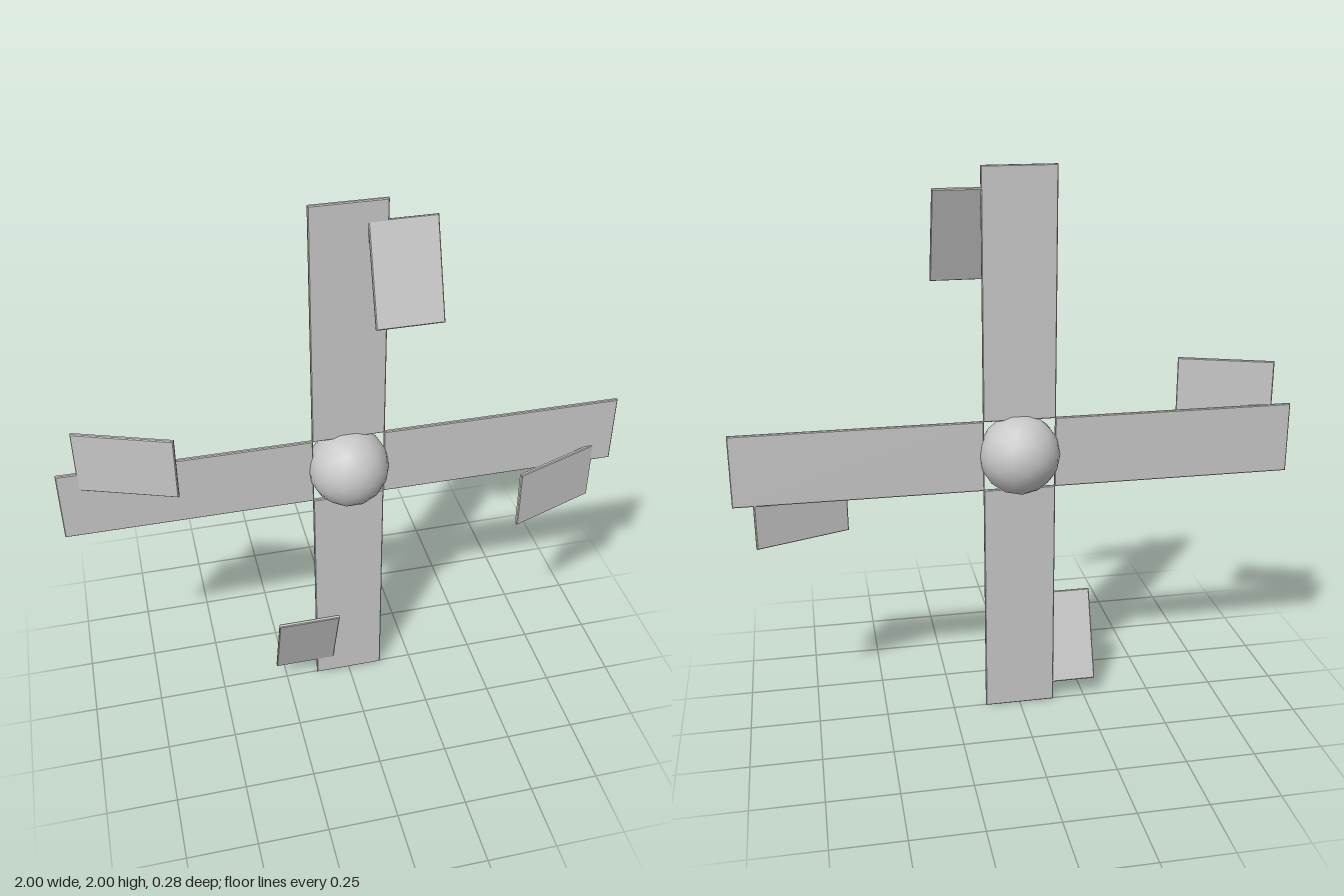
import * as THREE from 'three';

const THICKNESS = 0.014;

export function createModel() {
  const model = new THREE.Group();
  model.name = 'fourBladeRotor';
  const grey = new THREE.MeshStandardMaterial({ color: 0xc8c8c8 });
  grey.name = 'grey';

  // thin plate with slightly bevelled edges, centred on the origin
  const plate = (name, width, height) => {
    const b = 0.003, w = width / 2 - b, h = height / 2 - b;
    const shape = new THREE.Shape([
      new THREE.Vector2(-w, -h), new THREE.Vector2(w, -h),
      new THREE.Vector2(w, h), new THREE.Vector2(-w, h),
    ]);
    const geometry = new THREE.ExtrudeGeometry(shape, {
      depth: THICKNESS - 2 * b, bevelThickness: b, bevelSize: b, bevelSegments: 1,
    });
    geometry.translate(0, 0, b - THICKNESS / 2);
    const mesh = new THREE.Mesh(geometry, grey);
    mesh.name = name;
    return mesh;
  };

  // central ball
  const hub = new THREE.Mesh(new THREE.IcosahedronGeometry(0.144, 2), grey);
  hub.name = 'hub';
  hub.position.y = 1;
  model.add(hub);

  // four arms, each with a flap hinged near its tip and tilted forward
  const root = 0.127, tip = 1;
  const hingeY = 0.925, flapEndY = 0.61, flapZ = 0.115;
  const names = ['top', 'left', 'bottom', 'right'];
  names.forEach((side, i) => {
    const arm = new THREE.Group();
    arm.name = side + 'Arm';

    const blade = plate(side + 'Blade', 0.258, tip - root);
    blade.position.y = (tip + root) / 2;

    const flap = plate(side + 'Flap', 0.228, Math.hypot(hingeY - flapEndY, flapZ) + 0.008);
    flap.position.set(0.176, (hingeY + flapEndY) / 2, flapZ / 2);
    flap.rotation.x = -Math.atan2(flapZ, hingeY - flapEndY);

    arm.add(blade, flap);
    arm.position.y = 1;
    arm.rotation.z = -i * Math.PI / 2;
    model.add(arm);
  });

  return model;
}
